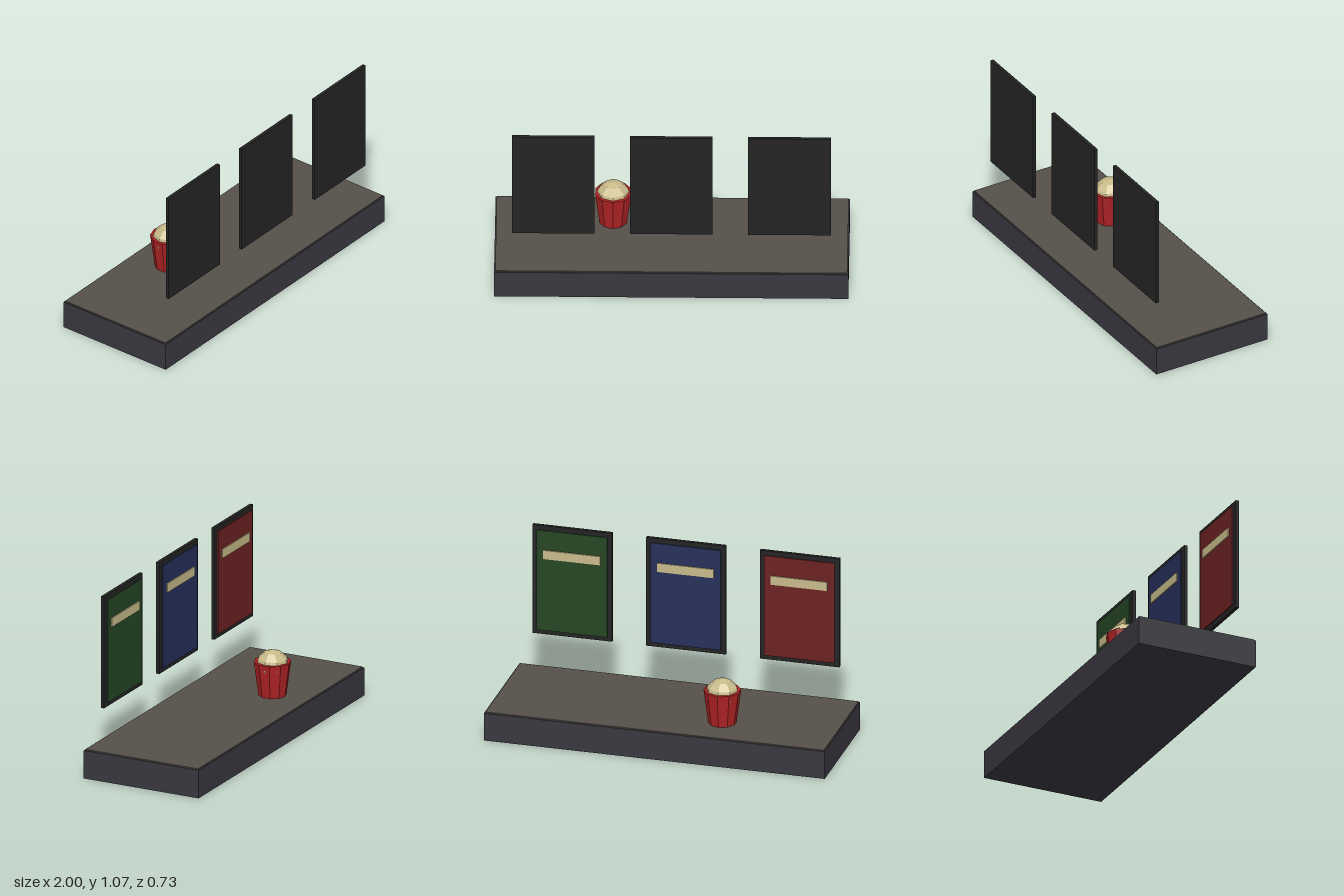
import * as THREE from 'three';

const mat = (name, color) => {
  const m = new THREE.MeshStandardMaterial({ color, flatShading: true });
  m.name = name;
  return m;
};

export function createModel() {
  const model = new THREE.Group();
  model.name = 'snackCounter';

  const charcoal = mat('charcoal', 0x3a3840);
  const stone = mat('warm grey', 0x55514a);
  const black = mat('black', 0x242424);
  const cream = mat('cream', 0xc8bb8a);
  const cupRed = mat('cup red', 0xb02224);
  const posterColours = [
    mat('dark red', 0x6c2222),
    mat('dark blue', 0x26305a),
    mat('dark green', 0x254623),
  ];

  const add = (parent, name, geometry, material, x, y, z) => {
    const mesh = new THREE.Mesh(geometry, material);
    mesh.name = name;
    mesh.position.set(x, y, z);
    parent.add(mesh);
    return mesh;
  };
  const box = (w, h, d) => new THREE.BoxGeometry(w, h, d);

  // Counter block with a slightly inset worktop
  add(model, 'counter', box(2, 0.1667, 0.7333), charcoal, 0, 0.0833, 0);
  add(model, 'worktop', box(1.987, 0.0067, 0.72), stone, 0, 0.17, 0);

  // Three hanging boards, their coloured faces turned to the back
  posterColours.forEach((colour, i) => {
    const board = new THREE.Group();
    board.name = 'menuBoard' + (i + 1);
    board.position.set((i - 1) * 0.6667, 0.7333, 0);
    add(board, 'frame', box(0.4667, 0.6667, 0.02), black, 0, 0, 0.3);
    add(board, 'panel', box(0.4133, 0.6133, 0.0067), colour, 0, 0, 0.2833);
    add(board, 'titleStrip', box(0.3333, 0.0533, 0.0067), cream, 0, 0.1617, 0.2767);
    model.add(board);
  });

  // Ten-sided tapered cup with a faceted mound of popcorn
  const cup = new THREE.Group();
  cup.name = 'popcornCup';
  cup.position.set(-0.3333, 0.1733, -0.1333);
  add(cup, 'cup', new THREE.CylinderGeometry(0.1067, 0.08, 0.2, 10), cupRed, 0, 0.1, 0);
  add(cup, 'popcorn', new THREE.SphereGeometry(0.1, 8, 6), cream, 0, 0.1667, 0);
  model.add(cup);

  return model;
}
